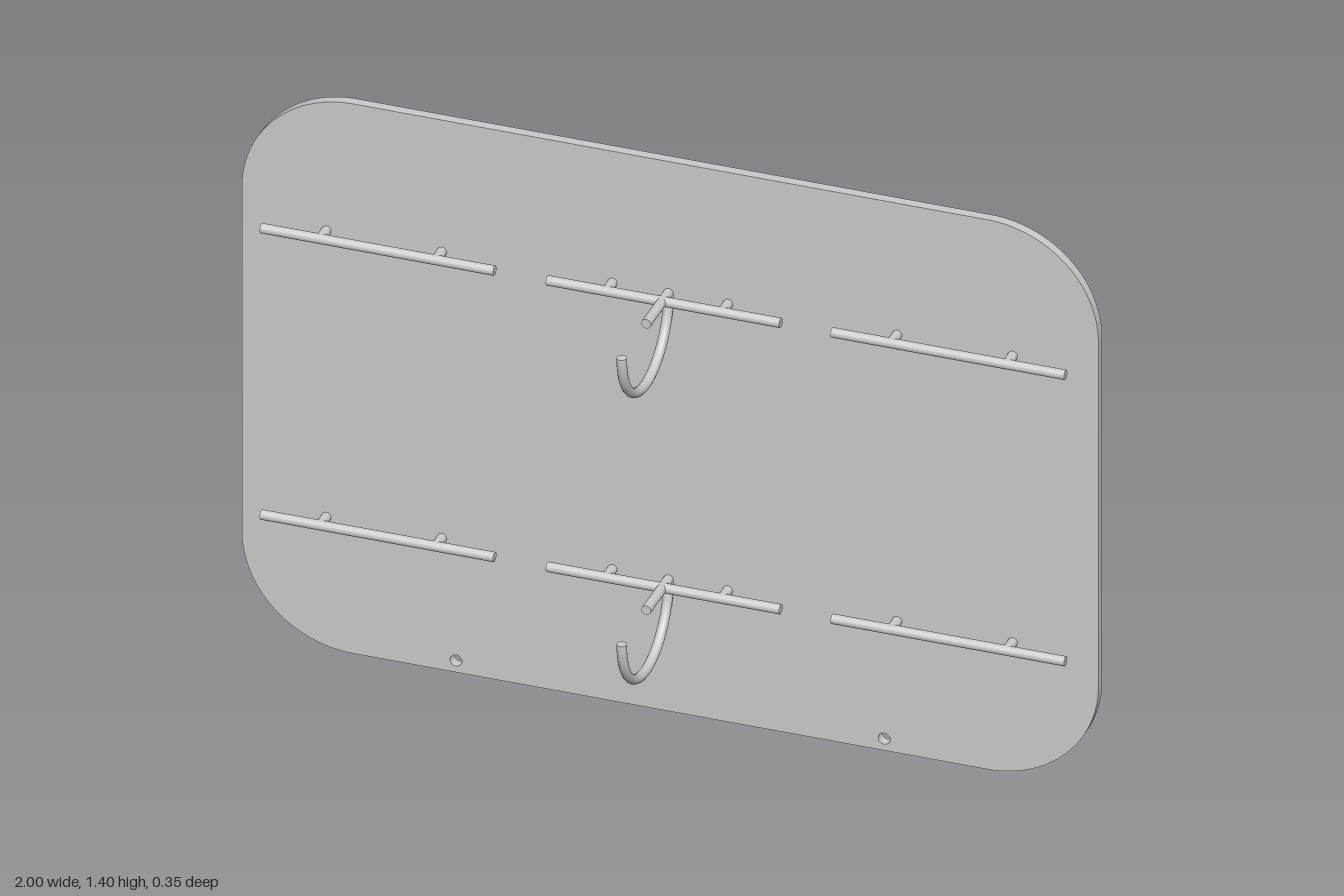
import * as THREE from 'three';

const ROD = 0.0115; // radius of every rod
const BACK = -0.172; // rear end of the pegs
const BAR_Z = -0.1;
const material = new THREE.MeshStandardMaterial({ color: 0xcccccc });

function add(parent, name, geometry) {
  const mesh = new THREE.Mesh(geometry, material);
  mesh.name = name;
  parent.add(mesh);
  return mesh;
}

// Rounded board with two small holes near the lower edge
function panelGeometry() {
  const w = 1, h = 1.397, r = 0.26, depth = 0.024;
  const shape = new THREE.Shape();
  shape.moveTo(-w + r, 0);
  shape.absarc(w - r, r, r, -Math.PI / 2, 0, false);
  shape.absarc(w - r, h - r, r, 0, Math.PI / 2, false);
  shape.absarc(-w + r, h - r, r, Math.PI / 2, Math.PI, false);
  shape.absarc(-w + r, r, r, Math.PI, Math.PI * 1.5, false);
  for (const x of [-0.5, 0.5]) {
    const hole = new THREE.Path();
    hole.absarc(x, 0.03, 0.014, 0, Math.PI * 2, true);
    shape.holes.push(hole);
  }
  const geometry = new THREE.ExtrudeGeometry(shape, { depth, bevelEnabled: false, curveSegments: 24 });
  return geometry.translate(0, 0, -0.163);
}

// Round rod along z between two depths
function peg(parent, name, x, z0, z1) {
  const geometry = new THREE.CylinderGeometry(ROD, ROD, z1 - z0, 20).rotateX(Math.PI / 2);
  add(parent, name, geometry).position.set(x, 0, (z0 + z1) / 2);
}

// Half-circle hook with flat ends, hanging below the bar
function hook(parent, x) {
  const radius = 0.151;
  const group = new THREE.Group();
  group.name = 'hook';
  group.position.set(x, 0, 0.011);
  const arc = new THREE.TorusGeometry(radius, ROD, 16, 40, Math.PI);
  add(group, 'hookArc', arc.rotateX(Math.PI).rotateY(Math.PI / 2));
  for (const side of [-1, 1]) {
    const cap = new THREE.CircleGeometry(ROD, 16).rotateX(-Math.PI / 2);
    add(group, 'hookEnd', cap).position.z = side * radius;
  }
  parent.add(group);
}

// One row: three bars on pegs, a long centre pin and a hook
function rackRow(y) {
  const row = new THREE.Group();
  row.name = 'rackRow';
  row.position.y = y;
  const bars = [[-0.668, 0.135], [0, 0.135], [0.665, 0.135]];
  for (const [x, spread] of bars) {
    const bar = new THREE.CylinderGeometry(ROD, ROD, 0.545, 20).rotateZ(Math.PI / 2);
    add(row, 'bar', bar).position.set(x, 0, BAR_Z);
    for (const side of [-1, 1]) peg(row, 'barPeg', x + side * spread, BACK, BAR_Z);
  }
  peg(row, 'centrePin', -0.004, BACK, 0.005);
  hook(row, -0.004);
  return row;
}

export function createModel() {
  const model = new THREE.Group();
  model.name = 'wallRack';
  add(model, 'panel', panelGeometry());
  for (const y of [0.335, 1.063]) model.add(rackRow(y));
  return model;
}
